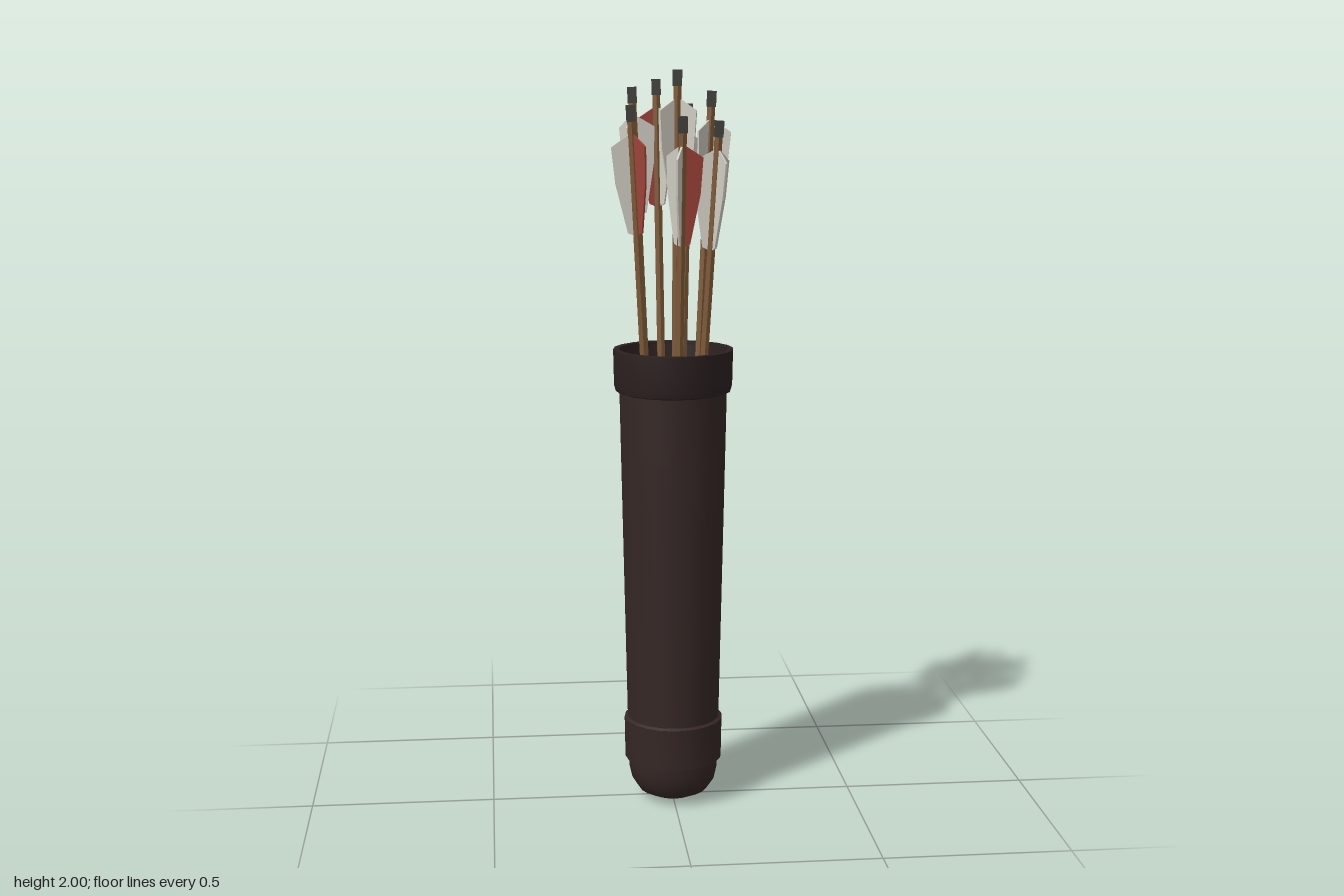
import * as THREE from 'three';
import { toCreasedNormals } from 'three/addons/utils/BufferGeometryUtils.js';

const mat = (name, color) => {
  const m = new THREE.MeshStandardMaterial({ color });
  m.name = name;
  return m;
};

export function createModel() {
  const leather = mat('dark brown leather', 0x352725);
  const trim = mat('darker leather trim', 0x2d2121);
  const wood = mat('arrow wood', 0x7d5836);
  const nockGrey = mat('nock grey', 0x41403c);
  const white = mat('white feather', 0xcfccc2);
  const red = mat('red feather', 0xa0443a);

  const quiver = new THREE.Group();
  quiver.name = 'quiver';
  const add = (parent, name, geometry, material) => {
    const mesh = new THREE.Mesh(geometry, material);
    mesh.name = name;
    parent.add(mesh);
    return mesh;
  };
  const lathe = (points) => toCreasedNormals(
    new THREE.LatheGeometry(points.map(([r, y]) => new THREE.Vector2(r, y)), 20), 0.65);

  // Tapered tube with rounded foot, hollow at the top
  const tube = new THREE.Group();
  tube.name = 'tube';
  tube.position.set(0.003, 0, 0.003);
  quiver.add(tube);
  add(tube, 'body', lathe([
    [0, 0], [0.06, 0.008], [0.095, 0.025], [0.115, 0.055], [0.123, 0.09], [0.124, 0.13],
    [0.127, 0.24], [0.142, 0.97], [0.146, 1.17],
  ]), leather);
  add(tube, 'inside', lathe([[0.146, 1.258], [0.14, 1.15], [0.13, 0.97], [0, 0.97]]), trim);
  add(tube, 'lowerBand', lathe([[0.124, 0.115], [0.134, 0.118], [0.136, 0.232], [0.126, 0.237]]), leather);
  add(tube, 'rim', lathe([
    [0.144, 1.148], [0.155, 1.152], [0.16, 1.168], [0.162, 1.265], [0.146, 1.265], [0.145, 1.2],
  ]), trim);

  // Flat strap leaning along the back
  const top = new THREE.Vector3(0.003, 1.205, -0.161);
  const bottom = new THREE.Vector3(0.003, 0.19, -0.137);
  const strap = add(quiver, 'backStrap', new THREE.BoxGeometry(0.108, top.distanceTo(bottom), 0.012), trim);
  strap.position.copy(top).add(bottom).multiplyScalar(0.5);
  strap.rotation.x = Math.atan2(top.z - bottom.z, top.y - bottom.y);

  // Feather outline: x runs out from the shaft, y down from the nock end
  const outline = [[0, -0.07], [0.056, -0.105], [0.05, -0.2], [0.024, -0.33], [0, -0.34]];
  const featherGeo = new THREE.ExtrudeGeometry(
    new THREE.Shape(outline.map(([x, y]) => new THREE.Vector2(x, y))),
    { depth: 0.005, bevelEnabled: false });
  featherGeo.translate(0, 0, -0.0025);
  const nockGeo = new THREE.BoxGeometry(0.023, 0.042, 0.023).translate(0, -0.021, 0);

  // Arrow: nock x, y, z, angle of the first feather, and whether it is red
  const arrows = [
    [-0.033, 1.975, -0.107, 168, true],
    [0.055, 1.91, -0.112, -157, true],
    [-0.103, 1.955, -0.042, -127, false],
    [0.108, 1.945, -0.024, -110, true],
    [0.014, 2.0, 0.002, -90, true],
    [-0.115, 1.91, 0.067, 58, true],
    [0.116, 1.87, 0.08, -50, false],
    [0.017, 1.882, 0.117, -10, true],
  ];
  for (const [x, y, z, angle, hasRed] of arrows) {
    const tip = new THREE.Vector3(x, y, z);
    const mouth = new THREE.Vector3(x * 0.7, 1.26, z * 0.7);
    const direction = tip.clone().sub(mouth).normalize();
    const arrow = new THREE.Group();
    arrow.name = 'arrow';
    arrow.position.copy(tip);
    arrow.quaternion.setFromUnitVectors(new THREE.Vector3(0, 1, 0), direction);
    quiver.add(arrow);

    // Shaft reaches down to the floor inside the tube
    const length = (y - 0.96) / direction.y - 0.03;
    const shaftGeo = new THREE.CylinderGeometry(0.0115, 0.0115, length, 6);
    shaftGeo.translate(0, -0.03 - length / 2, 0);
    add(arrow, 'shaft', toCreasedNormals(shaftGeo, 0.5), wood);
    add(arrow, 'nock', nockGeo, nockGrey);
    for (let i = 0; i < 3; i++) {
      const feather = add(arrow, 'feather', featherGeo, hasRed && i === 0 ? red : white);
      feather.rotation.y = -THREE.MathUtils.degToRad(angle + i * 120);
    }
  }
  return quiver;
}
